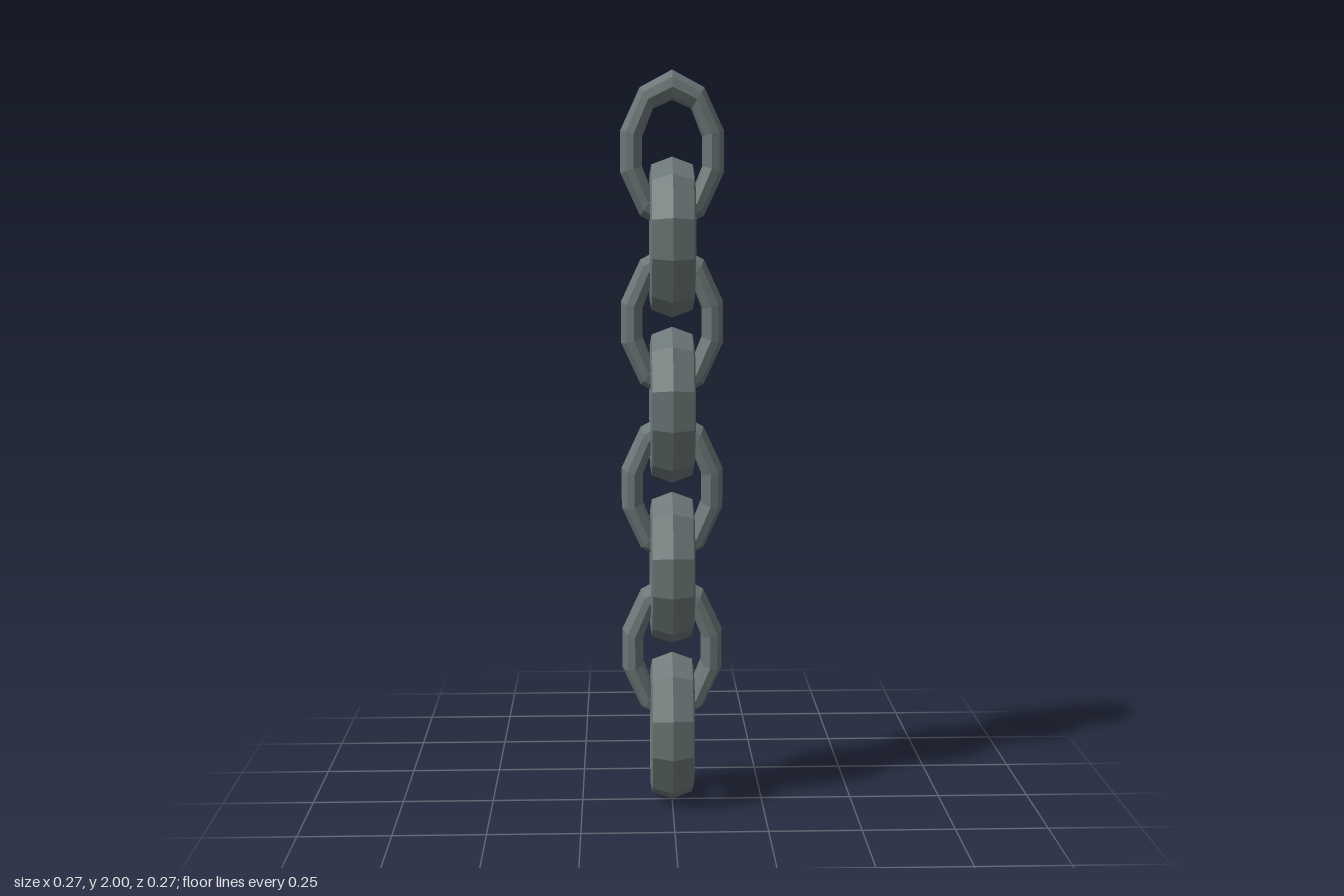
import * as THREE from 'three';

const LINKS = 8, PITCH = 0.225, HALF = 0.2125;

// One quarter of the link outline: [outer x, outer y, inner x, inner y]
const QUARTER = [
  [0, HALF, 0, 0.134],
  [0.085, 0.167, 0.05, 0.112],
  [0.137, 0.055, 0.079, 0.038],
];

// Bar cross-section: [share of the way from outer to inner edge, sideways offset]
const HALF_SECTION = [[0.26, 0.055], [0.6, 0.06], [0.94, 0.046]];
const SECTION = [
  [0, 0], ...HALF_SECTION,
  [1, 0], ...[...HALF_SECTION].reverse().map(([f, z]) => [f, -z]),
];

// Mirror the quarter into a closed ten-sided outline, clockwise from the top
function outline() {
  const right = [...QUARTER, ...[...QUARTER].reverse().map(([a, b, c, d]) => [a, -b, c, -d])];
  const left = right.slice(1, -1).reverse().map(([a, b, c, d]) => [-a, b, -c, d]);
  return [...right, ...left];
}

// Sweep the cross-section around the outline
function linkGeometry() {
  const path = outline(), n = path.length, m = SECTION.length;
  const positions = [], index = [];
  path.forEach(([ox, oy, ix, iy], i) => {
    SECTION.forEach(([f, z], j) => {
      positions.push(ox + (ix - ox) * f, oy + (iy - oy) * f, z);
      const i2 = (i + 1) % n, j2 = (j + 1) % m;
      const a = i * m + j, b = i * m + j2, c = i2 * m + j, d = i2 * m + j2;
      index.push(a, b, c, b, d, c);
    });
  });
  const indexed = new THREE.BufferGeometry();
  indexed.setAttribute('position', new THREE.Float32BufferAttribute(positions, 3));
  indexed.setIndex(index);
  const geometry = indexed.toNonIndexed();
  geometry.computeVertexNormals();
  return geometry;
}

export function createModel() {
  const chain = new THREE.Group();
  chain.name = 'chain';
  const geometry = linkGeometry();
  const material = new THREE.MeshStandardMaterial({ color: 0x6c7777, flatShading: true });

  // Hang the links from top to bottom, each turned a quarter from the last
  for (let i = 0; i < LINKS; i++) {
    const link = new THREE.Mesh(geometry, material);
    link.name = `chainLink${i + 1}`;
    link.position.y = 2 - HALF - i * PITCH;
    link.rotation.y = (i % 2) * Math.PI / 2;
    chain.add(link);
  }
  return chain;
}
